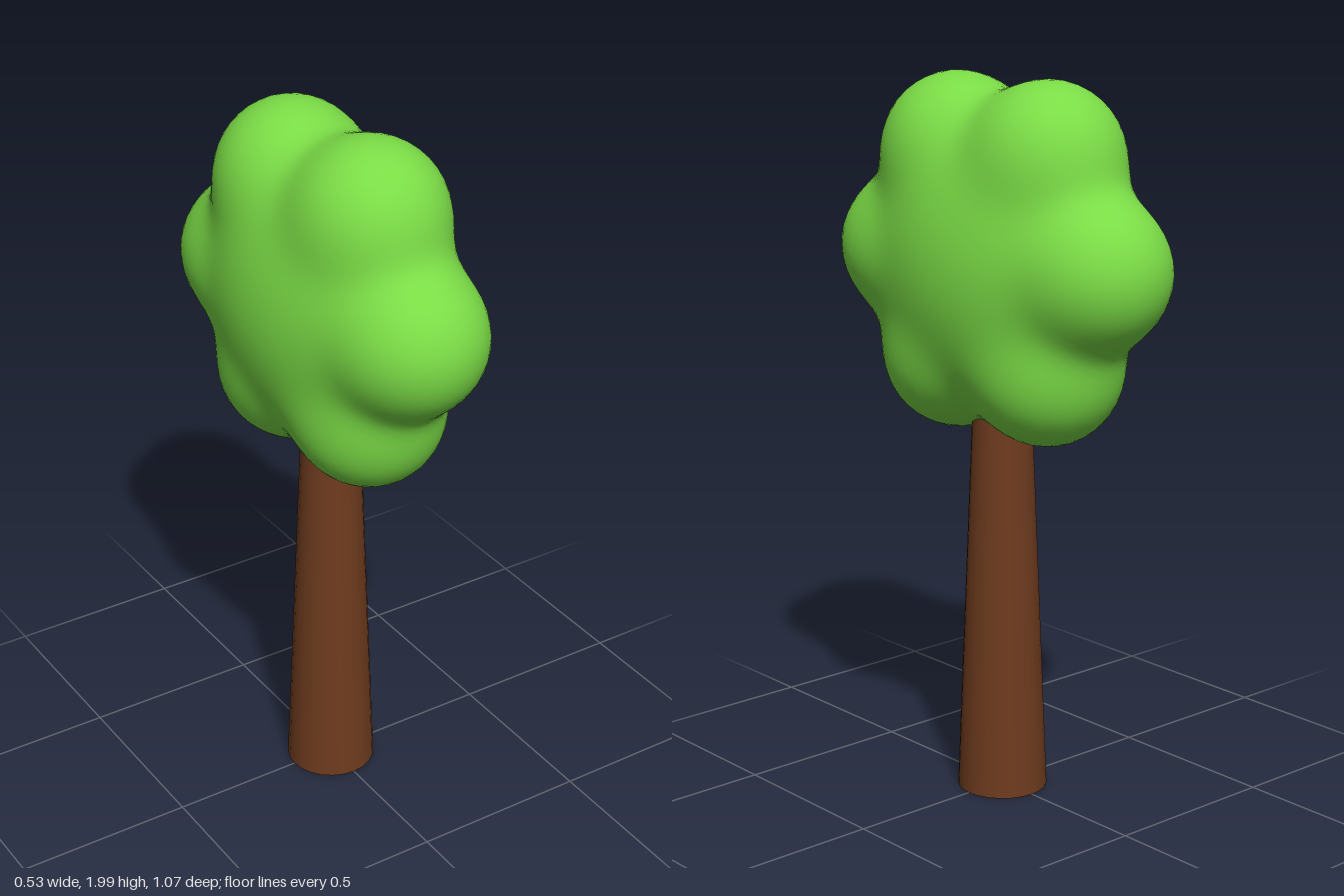
import * as THREE from 'three';
import { mergeVertices } from 'three/addons/utils/BufferGeometryUtils.js';

const CENTRE_Y = 1.505;
const BLEND = 0.04;

// Six round lobes in a ring around a flattened core
const lobes = Array.from({ length: 6 }, (_, i) => {
  const a = (i * Math.PI) / 3;
  return new THREE.Vector3(0, Math.sin(a) * 0.33, Math.cos(a) * 0.335);
});
const LOBE_RADIUS = 0.2;
const core = new THREE.Vector3(0.265, 0.38, 0.38);

// Distance to the smoothly blended union of core and lobes
function crownDistance(p) {
  const k0 = p.clone().divide(core).length();
  const k1 = p.clone().divide(core).divide(core).length();
  let sum = Math.exp(-(k0 * (k0 - 1)) / k1 / BLEND);
  for (const c of lobes) sum += Math.exp(-(p.distanceTo(c) - LOBE_RADIUS) / BLEND);
  return -BLEND * Math.log(sum);
}

// Push every point of a sphere out to the blended surface
function crownGeometry() {
  let geo = new THREE.IcosahedronGeometry(1, 17);
  geo.deleteAttribute('uv');
  geo.deleteAttribute('normal');
  geo = mergeVertices(geo, 1e-4);
  const pos = geo.attributes.position;
  const dir = new THREE.Vector3();
  const p = new THREE.Vector3();
  for (let i = 0; i < pos.count; i++) {
    dir.fromBufferAttribute(pos, i).normalize();
    let near = 0.1, far = 0.8;
    for (let n = 0; n < 22; n++) {
      const mid = (near + far) / 2;
      if (crownDistance(p.copy(dir).multiplyScalar(mid)) < 0) near = mid;
      else far = mid;
    }
    pos.setXYZ(i, dir.x * near, dir.y * near, dir.z * near);
  }
  geo.computeVertexNormals();
  return geo;
}

export function createModel() {
  const tree = new THREE.Group();
  tree.name = 'tree';

  // Tapered trunk, running up into the crown
  const trunkHeight = 1.2;
  const trunk = new THREE.Mesh(
    new THREE.CylinderGeometry(0.077, 0.125, trunkHeight, 24),
    new THREE.MeshStandardMaterial({ color: 0x6e3b1e })
  );
  trunk.name = 'trunk';
  trunk.position.y = trunkHeight / 2;
  tree.add(trunk);

  // Lobed leafy crown, turned slightly on the trunk
  const crown = new THREE.Mesh(
    crownGeometry(),
    new THREE.MeshStandardMaterial({ color: 0x7bdc46 })
  );
  crown.name = 'crown';
  crown.position.y = CENTRE_Y;
  crown.rotation.y = 0.09;
  tree.add(crown);

  return tree;
}
